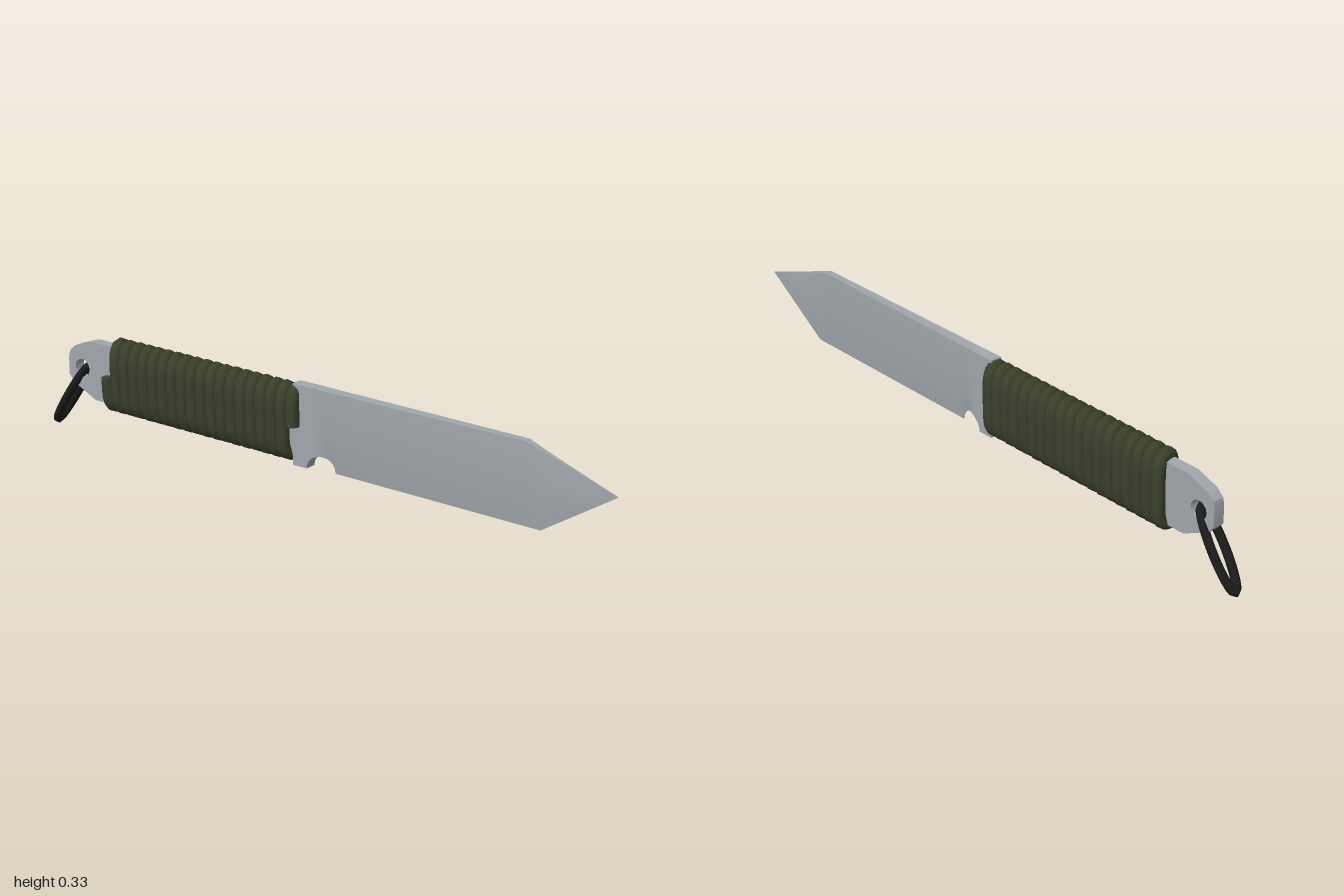
import * as THREE from 'three';
import { toCreasedNormals } from 'three/addons/utils/BufferGeometryUtils.js';

const steel = new THREE.MeshStandardMaterial({ name: 'steel', color: 0xa1a7ac });
const olive = new THREE.MeshStandardMaterial({ name: 'olive cord', color: 0x3b402c });
const black = new THREE.MeshStandardMaterial({ name: 'black cord', color: 0x1b1b1b });

function part(name, geometry, material) {
  const mesh = new THREE.Mesh(geometry, material);
  mesh.name = name;
  return mesh;
}

// Blade: six-sided sections lofted along x.
// Station: x, spine y, ridge y, edge y, then half thickness at each of the three.
function bladeGeometry() {
  const stations = [
    [-0.05, 0.33, 0.21, 0.085, 0.018, 0.018, 0.018],
    [0, 0.33, 0.21, 0.085, 0.018, 0.018, 0.018],
  ];
  // round notch at the heel, where the grind starts
  for (let i = 1; i <= 10; i++) {
    const a = Math.PI * (1 - i / 10);
    const x = 0.045 + 0.045 * Math.cos(a);
    const s = THREE.MathUtils.smoothstep(x, 0.01, 0.09);
    stations.push([x, 0.33, 0.21, 0.085 + 0.043 * Math.sin(a),
      0.018 - 0.001 * s, 0.018 - 0.001 * s, 0.018 - 0.017 * s]);
  }
  stations.push(
    [0.72, 0.33, 0.212, 0.085, 0.012, 0.013, 0.001],
    [0.77, 0.313, 0.214, 0.085, 0.007, 0.012, 0.001],
    [0.88, 0.276, 0.225, 0.157, 0.003, 0.007, 0.001],
    [0.998, 0.236, 0.235, 0.234, 0.0005, 0.0005, 0.0005],
  );
  const rings = stations.map(([x, t, m, b, ht, hm, hb]) => [
    [x, t, ht], [x, m, hm], [x, b, hb], [x, b, -hb], [x, m, -hm], [x, t, -ht],
  ]);
  const pos = [];
  const tri = (...pts) => pts.forEach((p) => pos.push(...p));
  for (let i = 0; i < rings.length - 1; i++) {
    for (let j = 0; j < 6; j++) {
      const k = (j + 1) % 6;
      const a = rings[i][j], b = rings[i][k], c = rings[i + 1][k], d = rings[i + 1][j];
      tri(a, b, c);
      tri(a, c, d);
    }
  }
  const first = rings[0], last = rings[rings.length - 1];
  for (let j = 1; j < 5; j++) {
    tri(first[0], first[j + 1], first[j]);
    tri(last[0], last[j], last[j + 1]);
  }
  const g = new THREE.BufferGeometry();
  g.setAttribute('position', new THREE.Float32BufferAttribute(pos, 3));
  return toCreasedNormals(g, 0.35);
}

// Tang and pommel plate with the lanyard hole
function tangGeometry() {
  const shape = new THREE.Shape([
    [-0.04, 0.305], [-0.72, 0.3], [-0.82, 0.3], [-0.89, 0.275], [-0.91, 0.255], [-0.915, 0.235],
    [-0.915, 0.18], [-0.895, 0.157], [-0.81, 0.117], [-0.72, 0.115], [-0.04, 0.115],
  ].map(([x, y]) => new THREE.Vector2(x, y)));
  const hole = new THREE.Path();
  hole.absarc(-0.86, 0.21, 0.028, 0, Math.PI * 2, true);
  shape.holes.push(hole);
  const g = new THREE.ExtrudeGeometry(shape, { depth: 0.036, bevelEnabled: false, curveSegments: 16 });
  g.translate(0, 0, -0.018);
  return toCreasedNormals(g, 0.5);
}

// Handle wrap: one cord wound round the tang as a flattened helix
function wrapGroup() {
  const group = new THREE.Group();
  group.name = 'handleWrap';
  const turns = 19, startX = -0.745, endX = -0.04, radius = 0.02;
  const loop = [ // z, y of one turn, from the middle of the front downward
    [0.031, 0.207], [0.027, 0.132], [0.012, 0.114], [-0.012, 0.114], [-0.027, 0.132],
    [-0.031, 0.207], [-0.027, 0.283], [-0.012, 0.306], [0.012, 0.306], [0.027, 0.283],
  ];
  const points = [];
  const count = turns * loop.length;
  for (let i = 0; i <= count; i++) {
    const [z, y] = loop[i % loop.length];
    points.push(new THREE.Vector3(startX + (endX - startX) * i / count, y, z));
  }
  const curve = new THREE.CatmullRomCurve3(points);
  curve.arcLengthDivisions = 3000;
  group.add(part('wrapCord', new THREE.TubeGeometry(curve, turns * 30, radius, 10), olive));
  // flat cut ends
  for (const u of [0, 1]) {
    const cap = part('cordEnd', new THREE.CircleGeometry(radius, 10), olive);
    const p = curve.getPointAt(u);
    const out = curve.getTangentAt(u).multiplyScalar(u ? 1 : -1);
    cap.position.copy(p);
    cap.quaternion.setFromUnitVectors(new THREE.Vector3(0, 0, 1), out);
    group.add(cap);
  }
  return group;
}

// Lanyard: narrow oval loop hanging through the pommel hole
function lanyardGeometry() {
  const low = new THREE.Vector3(-0.987, 0.013, 0);
  const high = new THREE.Vector3(-0.853, 0.212, 0);
  const points = [];
  for (let i = 0; i < 24; i++) {
    const a = i / 24 * Math.PI * 2;
    const p = low.clone().lerp(high, 0.5 + 0.5 * Math.cos(a));
    p.z = 0.023 * Math.sin(a);
    points.push(p);
  }
  return new THREE.TubeGeometry(new THREE.CatmullRomCurve3(points, true), 48, 0.013, 10, true);
}

export function createModel() {
  const model = new THREE.Group();
  model.name = 'knife';
  model.add(
    part('blade', bladeGeometry(), steel),
    part('tang', tangGeometry(), steel),
    wrapGroup(),
    part('lanyardLoop', lanyardGeometry(), black),
  );
  return model;
}
